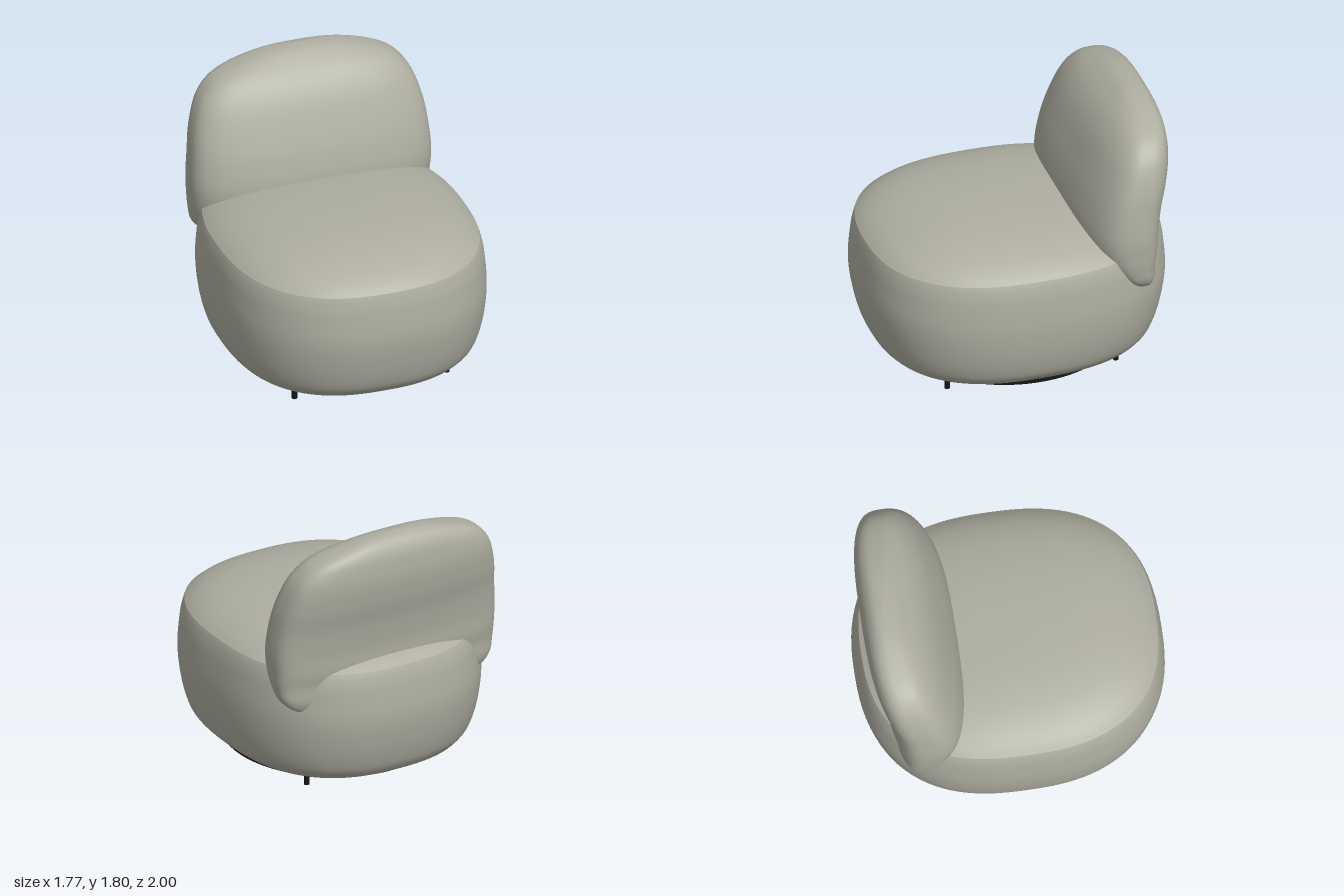
import * as THREE from 'three';

const upholstery = new THREE.MeshStandardMaterial({ color: 0xaeada0 });
upholstery.name = 'greyUpholstery';
const black = new THREE.MeshStandardMaterial({ color: 0x151515 });
black.name = 'blackBase';

// Smooth skin through stacked superellipse sections, listed bottom to top:
// [y, half width, front z, back z, z of the widest point]
function loft(sections, power, steps = 6, around = 96) {
  const channels = [0, 1, 2, 3, 4].map((c) =>
    new THREE.SplineCurve(sections.map((s, i) => new THREE.Vector2(i, s[c]))));
  const rings = (sections.length - 1) * steps;
  const positions = [], indices = [];
  const bend = (v) => Math.sign(v) * Math.pow(Math.abs(v), 2 / power);
  for (let i = 0; i <= rings; i++) {
    const [y, w, front, back, mid] = channels.map((c) => c.getPoint(i / rings).y);
    for (let j = 0; j < around; j++) {
      const a = (j / around) * Math.PI * 2;
      const s = bend(Math.sin(a));
      const depth = Math.max(0.0005, s > 0 ? front - mid : mid - back);
      positions.push(Math.max(0.0005, w) * bend(Math.cos(a)), y, mid + s * depth);
    }
  }
  for (let i = 0; i < rings; i++) {
    for (let j = 0; j < around; j++) {
      const a = i * around + j, b = i * around + ((j + 1) % around);
      indices.push(a, a + around, b, b, a + around, b + around);
    }
  }
  const geometry = new THREE.BufferGeometry();
  geometry.setAttribute('position', new THREE.Float32BufferAttribute(positions, 3));
  geometry.setIndex(indices);
  geometry.computeVertexNormals();
  return geometry;
}

export function createModel() {
  const group = new THREE.Group();
  const add = (name, geometry, material) => {
    const mesh = new THREE.Mesh(geometry, material);
    mesh.name = name;
    group.add(mesh);
    return mesh;
  };

  // Bulging seat body, up to the seam
  add('seatBody', loft([
    [0.062, 0, 0, 0, 0],
    [0.062, 0.35, 0.45, -0.45, 0],
    [0.066, 0.62, 0.74, -0.74, 0],
    [0.09, 0.73, 0.82, -0.84, 0],
    [0.13, 0.785, 0.875, -0.885, 0],
    [0.2, 0.83, 0.925, -0.925, 0],
    [0.35, 0.868, 0.97, -0.97, 0],
    [0.55, 0.885, 1, -1, 0],
    [0.75, 0.873, 0.987, -0.987, 0],
    [0.84, 0.857, 0.972, -0.97, 0],
    [0.885, 0.842, 0.96, -0.955, 0],
  ], 2.5), upholstery);

  // Domed cushion top above the seam
  add('seatCushion', loft([
    [0.885, 0.842, 0.96, -0.955, 0],
    [0.93, 0.785, 0.905, -0.88, 0.02],
    [0.975, 0.7, 0.82, -0.75, 0.06],
    [1.015, 0.575, 0.7, -0.56, 0.1],
    [1.045, 0.4, 0.54, -0.31, 0.14],
    [1.06, 0.2, 0.37, -0.02, 0.17],
    [1.064, 0, 0.18, 0.18, 0.18],
  ], 2.5), upholstery);

  // Leaning backrest whose lower corners wrap over the seat sides
  add('backrest', loft([
    [0.54, 0, -0.71, -0.71, -0.71],
    [0.58, 0.55, -0.64, -0.76, -0.71],
    [0.63, 0.7, -0.6, -0.8, -0.71],
    [0.7, 0.78, -0.52, -0.833, -0.67],
    [0.8, 0.805, -0.4, -0.84, -0.65],
    [0.9, 0.815, -0.345, -0.86, -0.64],
    [1.03, 0.82, -0.335, -0.868, -0.64],
    [1.2, 0.806, -0.37, -0.895, -0.65],
    [1.35, 0.785, -0.42, -0.932, -0.68],
    [1.5, 0.742, -0.48, -0.955, -0.72],
    [1.6, 0.685, -0.535, -0.955, -0.75],
    [1.68, 0.59, -0.6, -0.945, -0.77],
    [1.74, 0.42, -0.675, -0.92, -0.8],
    [1.78, 0.23, -0.745, -0.88, -0.815],
    [1.796, 0, -0.82, -0.82, -0.82],
  ], 2.9), upholstery);

  // Oval plinth plate
  const plate = add('basePlate', new THREE.CylinderGeometry(1, 1, 0.027, 96), black);
  plate.scale.set(0.695, 1, 0.735);
  plate.position.set(0, 0.0485, -0.01);

  // Four small feet
  for (const x of [-0.52, 0.52]) {
    for (const z of [-0.57, 0.57]) {
      add('foot', new THREE.CylinderGeometry(0.018, 0.018, 0.06, 16), black)
        .position.set(x, 0.03, z);
    }
  }
  return group;
}
